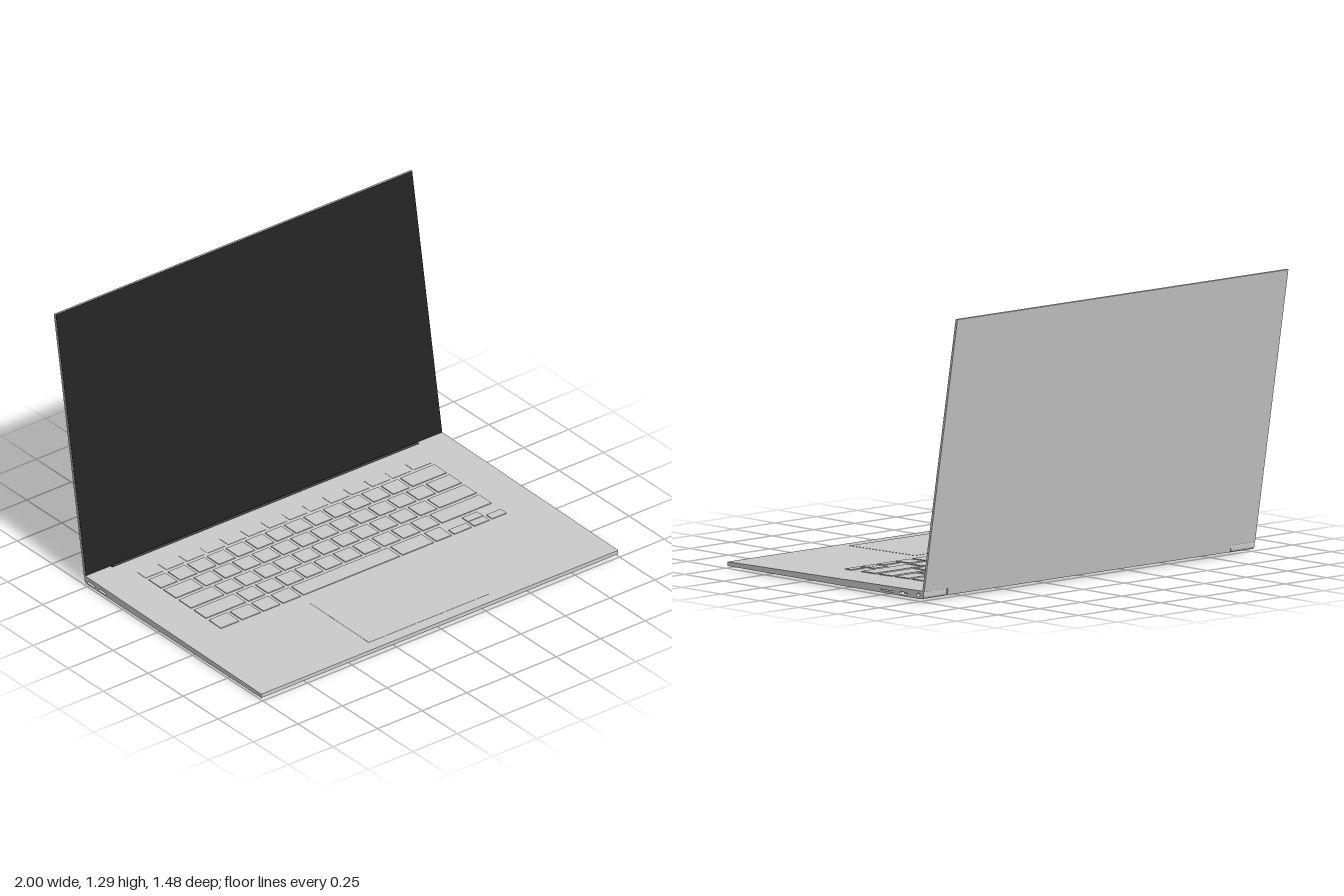
import * as THREE from 'three';

const grey = new THREE.MeshStandardMaterial({ color: 0xcccccc });
const dark = new THREE.MeshStandardMaterial({ color: 0x222222 });

function add(parent, name, geometry, x = 0, y = 0, z = 0, material = grey) {
  const mesh = new THREE.Mesh(geometry, material);
  mesh.name = name;
  mesh.position.set(x, y, z);
  parent.add(mesh);
  return mesh;
}

// Side outline of the wedge body; shape x runs along -z
function bodyProfile(rear) {
  const s = new THREE.Shape();
  s.moveTo(-0.74, 0.011);
  s.lineTo(rear - 0.02, 0.011);
  s.quadraticCurveTo(rear, 0.011, rear, 0.028);
  s.lineTo(rear, 0.03 + (rear + 0.74) * 0.0143);
  s.lineTo(-0.74, 0.03);
  s.closePath();
  return s;
}

// Rounded slot opening for a port
function slot(z0, z1, y, h) {
  const r = h / 2, p = new THREE.Path();
  p.absarc(z0 + r, y, r, Math.PI / 2, Math.PI * 1.5, false);
  p.absarc(z1 - r, y, r, -Math.PI / 2, Math.PI / 2, false);
  p.closePath();
  return p;
}

function bodySlice(parent, name, shape, x0, x1) {
  const g = new THREE.ExtrudeGeometry(shape, { depth: x1 - x0, bevelEnabled: false, curveSegments: 8 });
  g.rotateY(Math.PI / 2); // extrusion along +x, shape x along -z
  return add(parent, name, g, x0);
}

function buildBase() {
  const base = new THREE.Group();
  base.name = 'base';
  bodySlice(base, 'bodyCentre', bodyProfile(0.5), -0.86, 0.86);
  for (const side of [-1, 1]) {
    const inner = [0.86, 0.97], outer = [0.97, 1];
    const span = ([a, b]) => (side > 0 ? [a, b] : [-b, -a]);
    bodySlice(base, 'bodyShoulder', bodyProfile(0.52), ...span(inner));
    // Port openings are cut through the outermost slice
    const rim = bodyProfile(0.52);
    rim.holes.push(slot(0.365, 0.418, 0.023, 0.012));
    if (side > 0) {
      rim.holes.push(slot(0.245, 0.332, 0.023, 0.005));
      const jack = new THREE.Path();
      jack.absarc(0.488, 0.028, 0.009, 0, Math.PI * 2, true);
      rim.holes.push(jack);
    } else {
      rim.holes.push(slot(0.445, 0.498, 0.023, 0.012));
    }
    bodySlice(base, 'portRim', rim, ...span(outer));
  }
  // Long rubber feet
  for (const z of [0.565, -0.345]) {
    const foot = new THREE.CapsuleGeometry(0.011, 1.7, 4, 12);
    foot.rotateZ(Math.PI / 2);
    foot.scale(1, 1, 1);
    add(base, 'foot', foot, 0, 0.011, z);
  }
  return base;
}

function buildDeck() {
  const deck = new THREE.Group();
  deck.name = 'keyboardDeck';
  deck.position.y = 0.0406;
  deck.rotation.x = 0.0143;

  const gap = 0.016;
  const key = (x0, x1, z0, depth, h = 0.008) =>
    add(deck, 'key', new THREE.BoxGeometry(x1 - x0 - gap, h, depth), (x0 + x1) / 2, 0, z0 + depth / 2);

  // Key rows: left edge key width, count of unit keys, last key fills the row
  const unit = 0.1085, left = -0.808, right = 0.808, depth = 0.087;
  const rows = [
    { z: -0.317, first: 1, count: 12 },
    { z: -0.21, first: 1.55, count: 12 },
    { z: -0.103, first: 1.85, count: 11 },
    { z: 0.004, first: 2.2, count: 10 },
  ];
  for (const { z, first, count } of rows) {
    let x = left + first * unit;
    key(left, x, z, depth);
    for (let i = 0; i < count; i++, x += unit) key(x, x + unit, z, depth);
    key(x, right, z, depth);
  }
  // Low function row
  const step = (right - left) / 14;
  for (let i = 0; i < 14; i++) key(left + i * step, left + (i + 1) * step, -0.398, 0.06, 0.003);

  // Bottom row with space bar and arrows
  const edges = [left, -0.69, -0.57, -0.46, -0.345, 0.21, 0.4, 0.5];
  for (let i = 0; i < edges.length - 1; i++) key(edges[i], edges[i + 1], 0.111, depth);
  key(0.5, 0.612, 0.156, 0.042);
  key(0.612, 0.712, 0.111, 0.042);
  key(0.612, 0.712, 0.157, 0.041);
  key(0.712, right, 0.156, 0.042);

  add(deck, 'trackpad', new THREE.BoxGeometry(0.67, 0.002, 0.42), -0.02, 0, 0.475);
  return deck;
}

function buildLid() {
  const lid = new THREE.Group();
  lid.name = 'lid';
  lid.position.set(0, 0.047, -0.512);
  lid.rotation.x = -0.171;
  add(lid, 'lidShell', new THREE.BoxGeometry(2, 1.26, 0.011), 0, 0.63, -0.0075);
  add(lid, 'screen', new THREE.BoxGeometry(1.996, 1.256, 0.003), 0, 0.63, -0.001, dark);
  // Hinge cover drops behind the body between the shoulders
  add(lid, 'hingeCover', new THREE.BoxGeometry(1.71, 0.032, 0.011), 0, -0.014, -0.0075);
  const barrel = new THREE.CylinderGeometry(0.007, 0.007, 1.71, 16);
  barrel.rotateZ(Math.PI / 2);
  add(lid, 'hingeBarrel', barrel, 0, -0.002, 0.003, dark);
  return lid;
}

export function createModel() {
  const model = new THREE.Group();
  model.name = 'laptop';
  model.add(buildBase(), buildDeck(), buildLid());
  return model;
}
